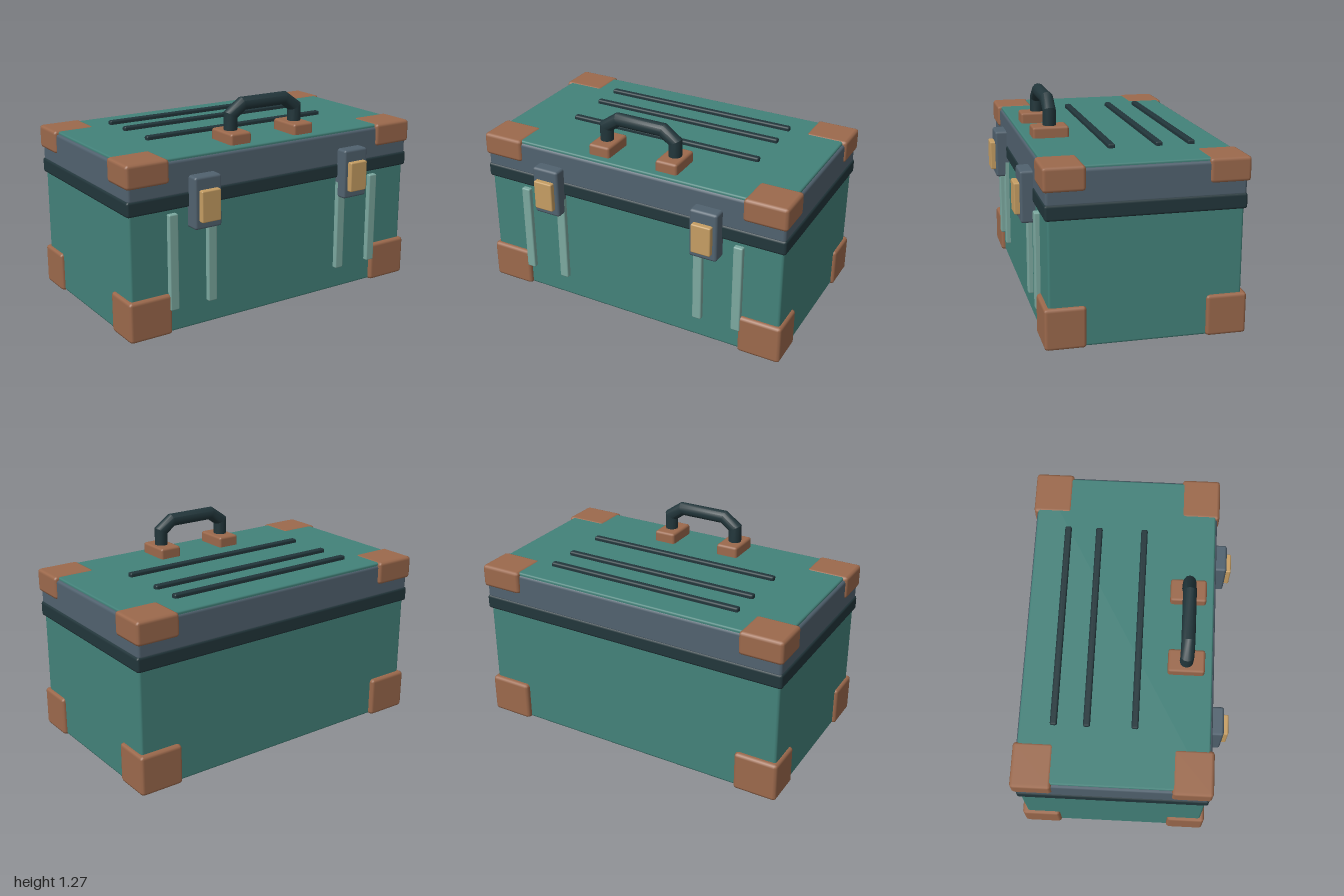
import * as THREE from 'three';
import { toCreasedNormals } from 'three/addons/utils/BufferGeometryUtils.js';
import { RoundedBoxGeometry } from 'three/addons/geometries/RoundedBoxGeometry.js';

const paint = (name, color) => {
  const m = new THREE.MeshStandardMaterial({ color });
  m.name = name;
  return m;
};

// Square-section bar swept along a flat path with mitred bends
function bentRod(points, radius, sides) {
  const last = points.length - 1;
  const geo = new THREE.CylinderGeometry(radius, radius, 1, sides, last, true);
  const pts = points.map(([x, y]) => new THREE.Vector2(x, y));
  const dirs = pts.slice(1).map((p, i) => p.clone().sub(pts[i]).normalize());
  const mitres = pts.map((_, i) => {
    const a = dirs[Math.max(i - 1, 0)], b = dirs[Math.min(i, last - 1)];
    const t = a.clone().add(b).normalize();
    return new THREE.Vector2(t.y, -t.x).divideScalar(t.dot(a));
  });
  const pos = geo.attributes.position;
  for (let k = 0; k < pos.count; k++) {
    const i = Math.round((pos.getY(k) + 0.5) * last);
    const s = pos.getX(k);
    pos.setXYZ(k, pts[i].x + mitres[i].x * s, pts[i].y + mitres[i].y * s, pos.getZ(k));
  }
  return toCreasedNormals(geo, 0.55);
}

export function createModel() {
  const model = new THREE.Group();
  model.name = 'toolChest';

  const green = paint('greenPaint', 0x43827a);
  const slate = paint('slateMetal', 0x51626f);
  const dark = paint('darkTrim', 0x22363b);
  const copper = paint('copperCorner', 0x9c694c);
  const pale = paint('paleGreen', 0x7ca9a0);
  const brass = paint('brass', 0xc69e63);

  // Bevelled box given by its extents on each axis
  function block(name, material, [x0, x1], [y0, y1], [z0, z1], bevel = 0.015) {
    const geo = new RoundedBoxGeometry(x1 - x0, y1 - y0, z1 - z0, 1, bevel);
    const mesh = new THREE.Mesh(geo, material);
    mesh.name = name;
    mesh.position.set((x0 + x1) / 2, (y0 + y1) / 2, (z0 + z1) / 2);
    model.add(mesh);
    return mesh;
  }
  const span = (centre, size) => [centre - size / 2, centre + size / 2];

  // Body, seam band, lid and lid panel
  block('body', green, [-0.98, 0.98], [0.003, 0.78], [-0.59, 0.505]);
  block('seamBand', dark, [-0.995, 0.995], [0.73, 0.82], [-0.605, 0.52]);
  block('lid', slate, [-0.988, 0.988], [0.805, 1.008], [-0.602, 0.516], 0.018);
  block('lidPanel', green, [-0.972, 0.972], [0.98, 1.021], [-0.595, 0.505], 0.01);

  // Protective corners, top and bottom
  for (const side of [-1, 1]) {
    for (const [z0, z1, end] of [[0.295, 0.53, 'front'], [-0.62, -0.385, 'back']]) {
      block(end + 'BottomCorner', copper, span(side * 0.865, 0.27), [0, 0.242], [z0, z1], 0.02);
      block(end + 'TopCorner', copper, span(side * 0.867, 0.266), [0.885, 1.025], [z0, z1], 0.02);
    }
  }

  // Grip strips on the lid
  for (const z of [0.07, -0.207, -0.397]) {
    block('lidStrip', dark, [-0.63, 0.63], [1.0, 1.045], span(z, 0.04), 0.01);
  }

  // Latches and front ribs
  for (const side of [-1, 1]) {
    block('latchPlate', slate, span(side * 0.525, 0.174), [0.61, 0.913], [0.49, 0.588]);
    block('latchClasp', brass, span(side * 0.525, 0.123), [0.657, 0.84], [0.56, 0.62], 0.008);
    for (const x of [0.717, 0.466]) {
      block('frontRib', pale, span(side * x, 0.058), [0.143, 0.71], [0.49, 0.534], 0.008);
    }
    block('handleMount', copper, span(side * 0.222, 0.14), [1.005, 1.086], [0.243, 0.458]);
  }

  // Carrying handle
  const path = [[-0.227, 1.06], [-0.227, 1.173], [-0.147, 1.23],
    [0.147, 1.23], [0.227, 1.173], [0.227, 1.06]];
  const handle = new THREE.Mesh(bentRod(path, 0.04, 12), dark);
  handle.name = 'handle';
  handle.position.z = 0.35;
  model.add(handle);

  return model;
}
